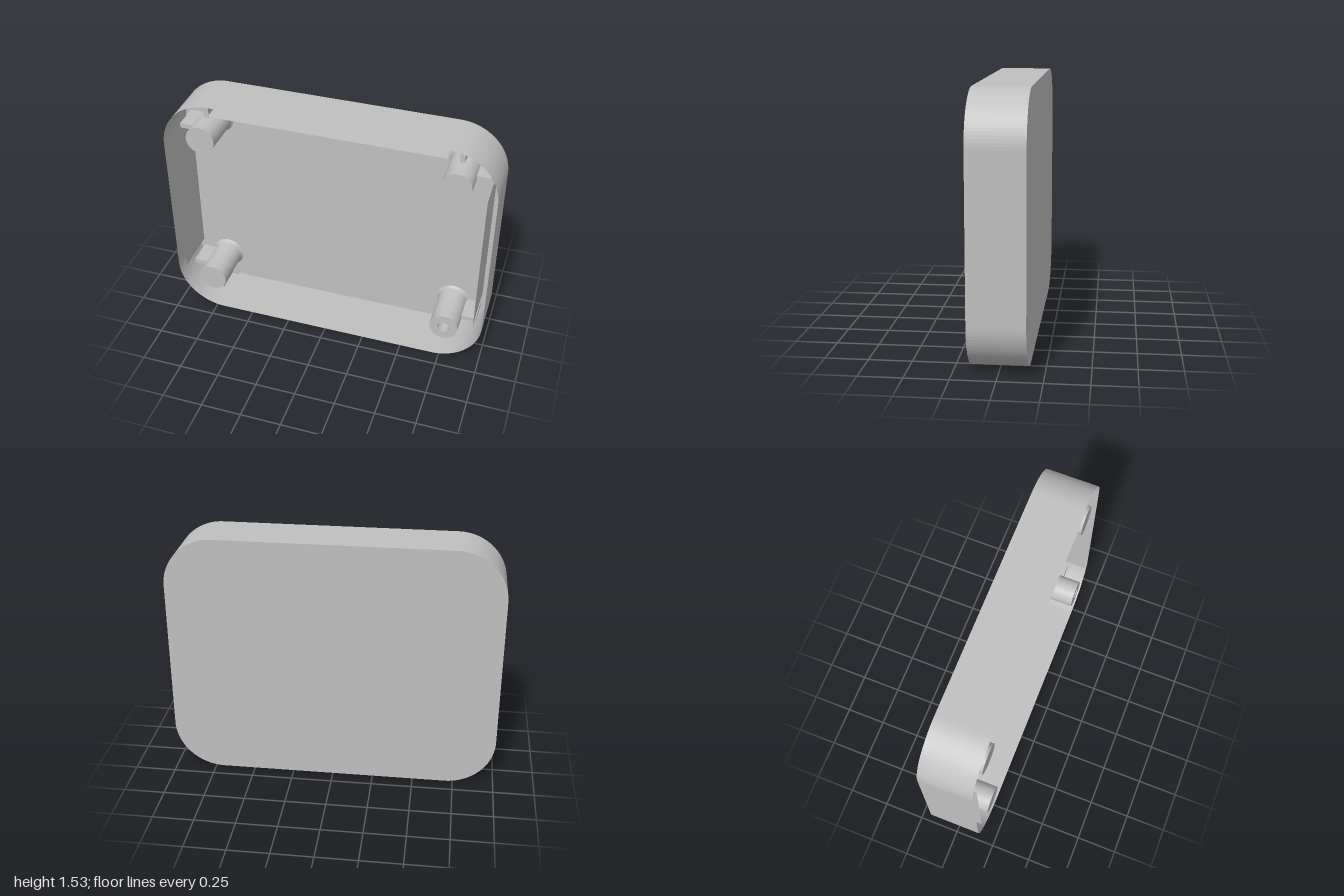
import * as THREE from 'three';
import { toCreasedNormals } from 'three/addons/utils/BufferGeometryUtils.js';

const H = 1.53, FRONT = 0.16, BACK = -0.16, FLOOR = -0.12;
const WALL = 0.057, CORNER = 0.3;
const POST_X = 0.765, POST_Y = 0.53, POST_R = 0.088, HOLE_R = 0.037;

// Rounded rectangle centred on the origin
function roundedRect(w, h, r) {
  const s = new THREE.Shape(), x = w / 2 - r, y = h / 2 - r;
  s.absarc(x, y, r, 0, Math.PI / 2);
  s.absarc(-x, y, r, Math.PI / 2, Math.PI);
  s.absarc(-x, -y, r, Math.PI, Math.PI * 1.5);
  s.absarc(x, -y, r, Math.PI * 1.5, Math.PI * 2);
  s.closePath();
  return s;
}

// Open faceted band following a closed outline, from z0 to z1
function band(points, z0, z1) {
  const pos = [];
  points.forEach((a, i) => {
    const b = points[(i + 1) % points.length];
    if (a.distanceTo(b) < 1e-5) return;
    pos.push(a.x, a.y, z0, b.x, b.y, z0, b.x, b.y, z1);
    pos.push(a.x, a.y, z0, b.x, b.y, z1, a.x, a.y, z1);
  });
  const g = new THREE.BufferGeometry();
  g.setAttribute('position', new THREE.Float32BufferAttribute(pos, 3));
  g.computeVertexNormals();
  return g;
}

export function createModel() {
  const model = new THREE.Group();
  model.name = 'enclosureHalf';
  const grey = new THREE.MeshStandardMaterial({ color: 0xc0c0c0, side: THREE.DoubleSide });
  grey.name = 'lightGrey';

  const add = (name, geometry, x = 0, y = 0, z = 0) => {
    const m = new THREE.Mesh(geometry, grey);
    m.name = name;
    m.position.set(x, y + H / 2, z);
    model.add(m);
    return m;
  };

  // Outer shell and back
  const outline = roundedRect(2, H, CORNER);
  add('outerWall', band(outline.getPoints(12), BACK, FRONT));
  add('backPanel', new THREE.ShapeGeometry(outline, 12).rotateY(Math.PI), 0, 0, BACK);

  // Raised floor inside
  const inW = 2 - 2 * WALL, inH = H - 2 * WALL;
  const floor = new THREE.ExtrudeGeometry(roundedRect(inW, inH, CORNER - WALL), {
    depth: FLOOR - BACK - 0.002, bevelEnabled: false, curveSegments: 12,
  });
  add('floor', floor, 0, 0, BACK + 0.002);

  // Flat inner walls along the straight sides
  const depth = FRONT - FLOOR, midZ = (FRONT + FLOOR) / 2;
  for (const s of [-1, 1]) {
    add('innerSideWall', new THREE.PlaneGeometry(depth, H - 2 * CORNER).rotateY(-s * Math.PI / 2),
      s * inW / 2, 0, midZ);
    add('innerEndWall', new THREE.PlaneGeometry(2 - 2 * CORNER, depth).rotateX(s * Math.PI / 2),
      0, s * inH / 2, midZ);
  }

  // Screw posts with flared feet, ribs and back hole covers
  const ribFront = 0.04, ribD = ribFront - FLOOR, ribZ = (ribFront + FLOOR) / 2, ribT = 0.03;
  for (const sx of [-1, 1]) for (const sy of [-1, 1]) {
    const x = sx * POST_X, y = sy * POST_Y;
    const open = sx > 0 && sy < 0;
    const profile = [[0.102, FLOOR], [0.093, FLOOR + 0.006], [POST_R, FLOOR + 0.02], [POST_R, FRONT]];
    if (open) profile.push([HOLE_R, FRONT], [HOLE_R, FLOOR], [0, FLOOR]);
    else profile.push([0, FRONT]);
    const post = new THREE.LatheGeometry(profile.map(p => new THREE.Vector2(...p)), 40);
    add(open ? 'openPost' : 'post', toCreasedNormals(post.rotateX(Math.PI / 2), 0.7), x, y);

    const x0 = POST_X + POST_R - 0.01, x1 = inW / 2;
    add('sideRib', new THREE.BoxGeometry(x1 - x0, ribT, ribD), sx * (x0 + x1) / 2, y, ribZ);
    const y0 = POST_Y + POST_R - 0.01, y1 = inH / 2;
    add('endRib', new THREE.BoxGeometry(ribT, y1 - y0, ribD), x, sy * (y0 + y1) / 2, ribZ);

    add('holeCover', new THREE.CircleGeometry(HOLE_R, 32).rotateY(Math.PI), x, y, BACK - 0.001);
  }
  return model;
}
